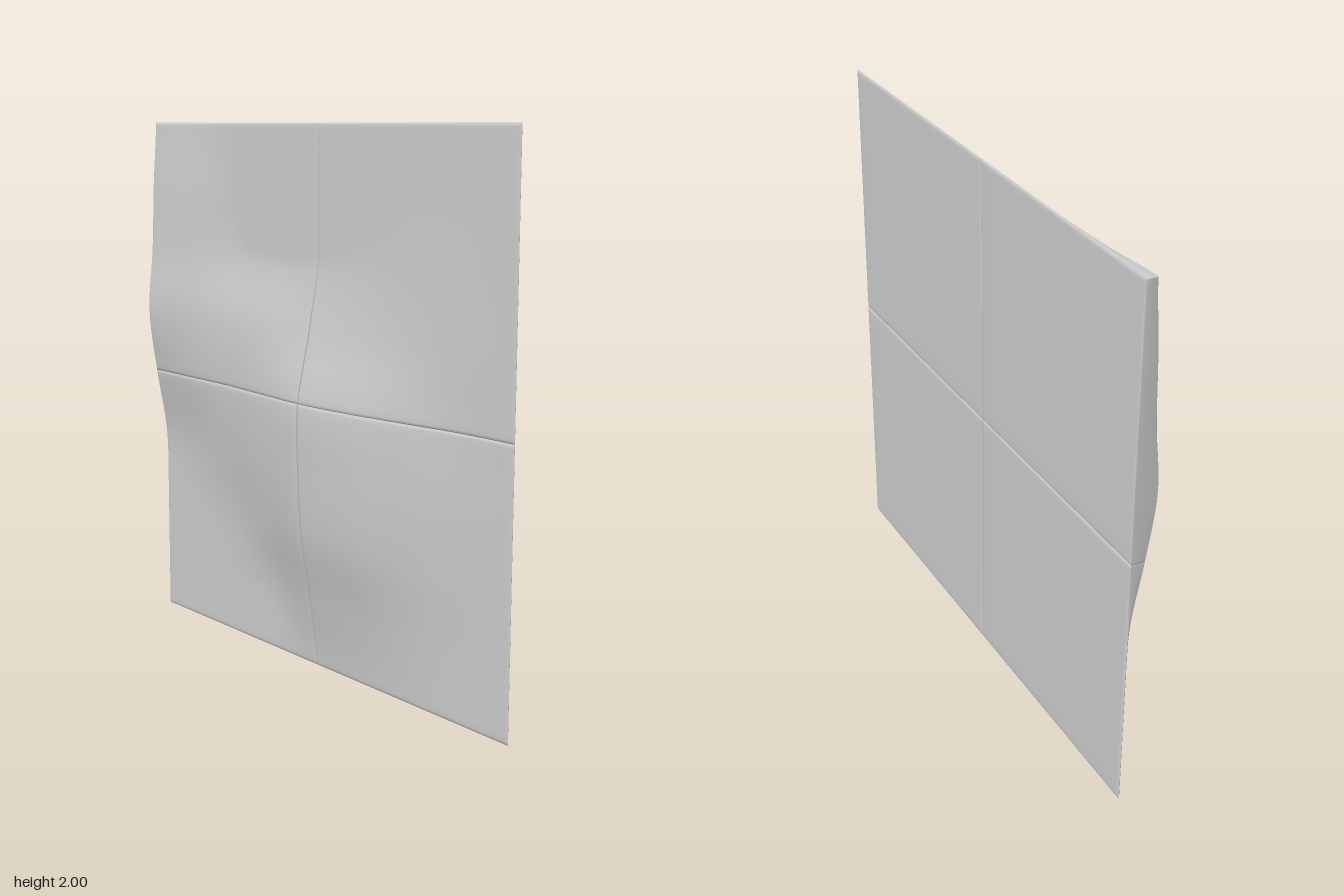
import * as THREE from 'three';
import { mergeVertices } from 'three/addons/utils/BufferGeometryUtils.js';

const BACK = -0.053, BASE = -0.043, SEGMENTS = 44;

// Relief in hundredths above the flat panel, every 0.25: rows from y = 0 up, columns from x = -1
const RELIEF = [
  [0, 0, 0, 0, 0, 0, 0, 0, 0],
  [0, 0, 0, 0.5, 3.2, 2.8, 1.5, 0.2, 0],
  [0, 0, 1, 4, 7.5, 7, 4, 1, 0],
  [0.5, 1.5, 3.5, 6.5, 9, 8.2, 5, 1.5, 0],
  [4.8, 5, 5.3, 7.2, 9, 7.8, 4.5, 1, 0],
  [8, 6.2, 4.8, 4.8, 4, 3.2, 2, 0.8, 0],
  [6, 4, 0.6, 0, 0, 0.3, 0.5, 0.3, 0],
  [5, 2.8, 0, 0, 0, 0, 0, 0, 0],
  [3.4, 1, 0, 0, 0, 0, 0, 0, 0],
];

// Smooth curve through evenly spaced values
function spline(values, t) {
  const i = Math.min(Math.floor(t), values.length - 2), f = t - i;
  const at = k => values[Math.max(0, Math.min(values.length - 1, k))];
  const a = at(i - 1), b = at(i), c = at(i + 1), d = at(i + 2);
  return b + 0.5 * f * (c - a + f * (2 * a - 5 * b + 4 * c - d + f * (3 * (b - c) + d - a)));
}

function relief(x, y) {
  const column = RELIEF.map(row => spline(row, (x + 1) * 4));
  return Math.max(0, spline(column, y * 4)) * 0.01;
}

// Grid lines crowd together at the tile edges to form a small rounded bevel
const INSET = [0, 0.004, 0.012], DROP = [0.0046, 0.0014, 0];
function gridLine(i) {
  if (i < 3) return INSET[i];
  if (i > SEGMENTS - 3) return 1 - INSET[SEGMENTS - i];
  return 0.012 + 0.976 * (i - 2) / (SEGMENTS - 4);
}

function tileGeometry(x0, y0) {
  const box = new THREE.BoxGeometry(1, 1, 1, SEGMENTS, SEGMENTS, 1);
  box.deleteAttribute('normal');
  box.deleteAttribute('uv');
  const geometry = mergeVertices(box, 1e-5);
  const p = geometry.attributes.position;
  for (let k = 0; k < p.count; k++) {
    const i = Math.round((p.getX(k) + 0.5) * SEGMENTS);
    const j = Math.round((p.getY(k) + 0.5) * SEGMENTS);
    const rim = Math.min(i, j, SEGMENTS - i, SEGMENTS - j);
    const drop = DROP[Math.min(rim, 2)];
    const x = x0 + gridLine(i), y = y0 + gridLine(j);
    const z = p.getZ(k) > 0 ? BASE + relief(x, y) - drop : BACK + drop;
    p.setXYZ(k, x, y, z);
  }
  geometry.computeVertexNormals();
  return geometry;
}

export function createModel() {
  const group = new THREE.Group();
  group.name = 'reliefPanel';
  const stone = new THREE.MeshStandardMaterial({ color: 0xcccccc });
  stone.name = 'pale grey';

  // Four tiles meeting at the middle
  for (const [name, x, y] of [
    ['lowerRightTile', -1, 0], ['lowerLeftTile', 0, 0],
    ['upperRightTile', -1, 1], ['upperLeftTile', 0, 1],
  ]) {
    const tile = new THREE.Mesh(tileGeometry(x, y), stone);
    tile.name = name;
    group.add(tile);
  }
  return group;
}
